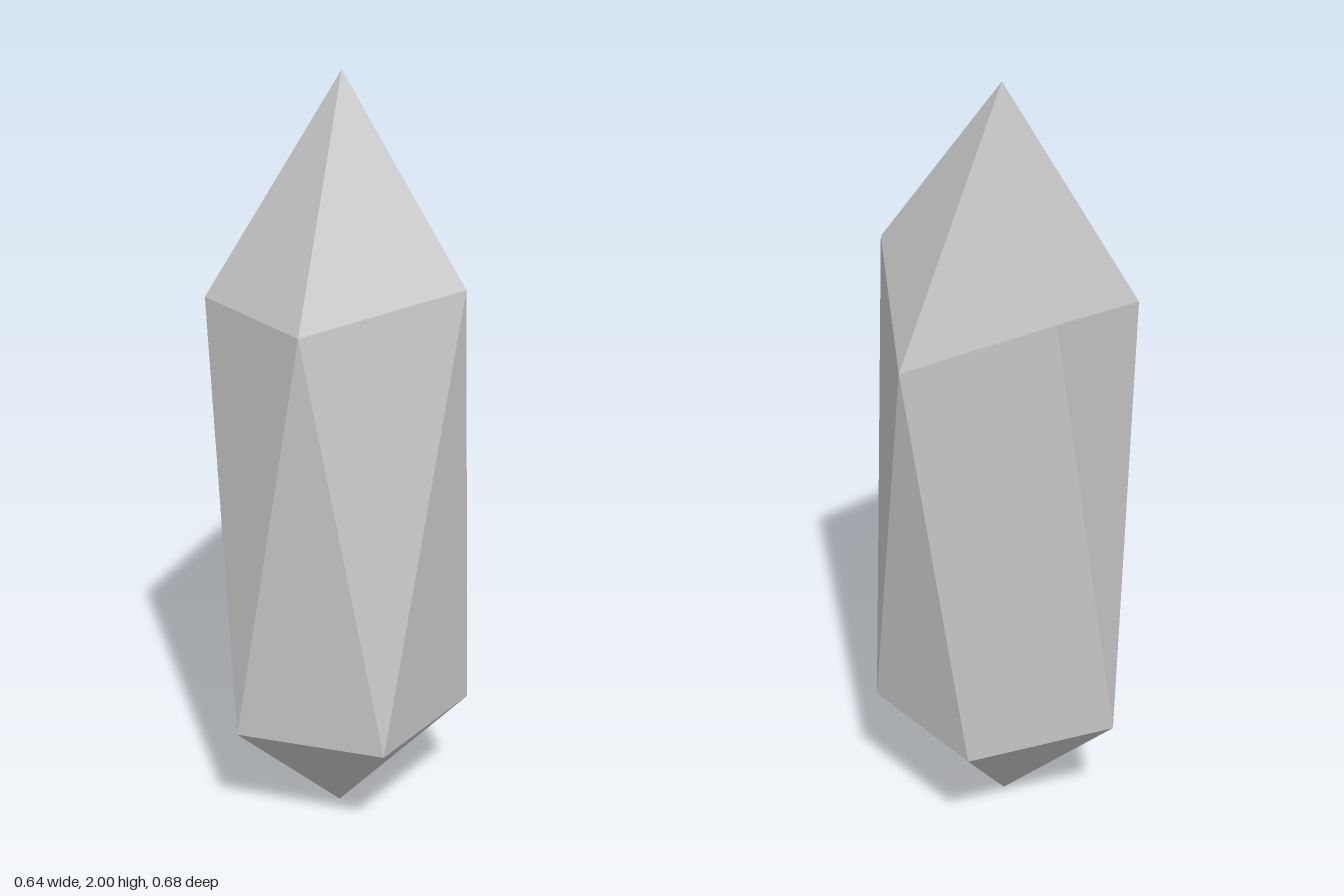
import * as THREE from 'three';

export function createModel() {
  const group = new THREE.Group();
  group.name = 'crystal';

  // Tips and two staggered, slightly uneven rings of five corners, turning from +x to +z
  const top = [0.008, 2, 0];
  const bottom = [0.003, 0, 0];
  const upper = [
    [0.32, 1.345, 0], [0.12, 1.53, 0.338], [-0.265, 1.455, 0.2],
    [-0.26, 1.435, -0.195], [0.12, 1.54, -0.34],
  ];
  const lower = [
    [0.274, 0.315, 0.195], [-0.097, 0.325, 0.32], [-0.322, 0.317, 0],
    [-0.097, 0.325, -0.323], [0.27, 0.31, -0.19],
  ];

  // Pointed cap, zigzag body and pointed base, one slice per ring corner
  const points = [];
  for (let i = 0; i < 5; i++) {
    const j = (i + 1) % 5;
    points.push(
      top, upper[j], upper[i],
      upper[i], upper[j], lower[i],
      lower[i], upper[j], lower[j],
      lower[i], lower[j], bottom,
    );
  }
  const geometry = new THREE.BufferGeometry();
  geometry.setAttribute('position', new THREE.Float32BufferAttribute(points.flat(), 3));
  geometry.computeVertexNormals();

  const material = new THREE.MeshStandardMaterial({ color: 0xcccccc, flatShading: true });
  const shard = new THREE.Mesh(geometry, material);
  shard.name = 'crystalShard';
  group.add(shard);
  return group;
}
